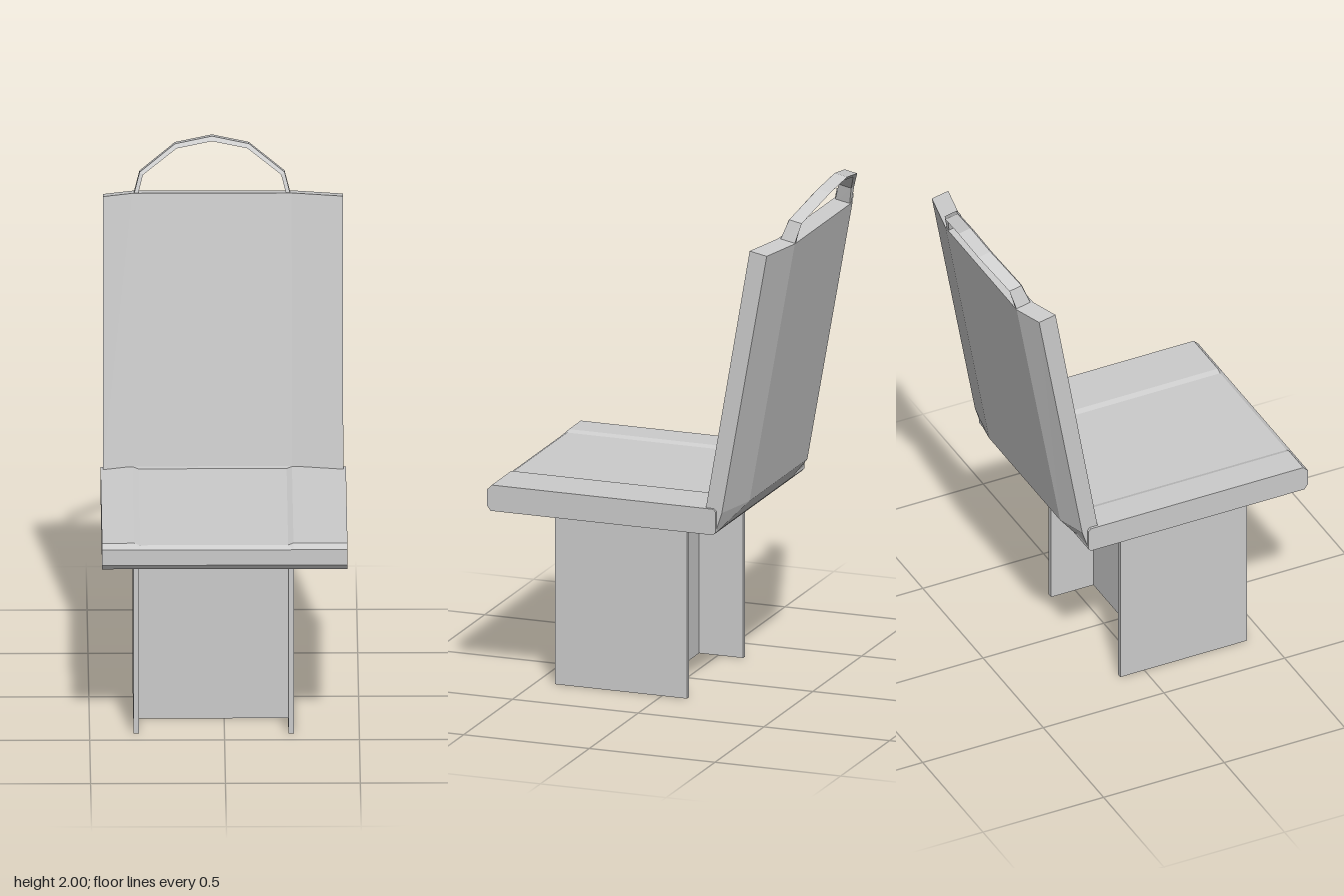
import * as THREE from 'three';

const grey = new THREE.MeshStandardMaterial({ color: 0xcccccc, flatShading: true });

// Closed solid through equal rings, which run counterclockwise seen from the last ring.
function loft(name, rings) {
  const n = rings[0].length, last = (rings.length - 1) * n;
  const index = [];
  const quad = (a, b, c, d) => index.push(a, b, c, a, c, d);
  for (let r = 0; r < rings.length - 1; r++) {
    for (let i = 0; i < n; i++) {
      const j = (i + 1) % n, o = r * n;
      quad(o + i, o + j, o + n + j, o + n + i);
    }
  }
  for (let i = 0; i < n / 2 - 1; i++) {
    quad(n - 1 - i, n - 2 - i, i + 1, i);
    quad(last + i, last + i + 1, last + n - 2 - i, last + n - 1 - i);
  }
  const indexed = new THREE.BufferGeometry();
  indexed.setAttribute('position', new THREE.Float32BufferAttribute(rings.flat(2), 3));
  indexed.setIndex(index);
  const geometry = indexed.toNonIndexed();
  geometry.computeVertexNormals();
  const mesh = new THREE.Mesh(geometry, grey);
  mesh.name = name;
  return mesh;
}

function box(name, w, h, d, x, y, z) {
  const mesh = new THREE.Mesh(new THREE.BoxGeometry(w, h, d), grey);
  mesh.name = name;
  mesh.position.set(x, y, z);
  return mesh;
}

// Chamfered cushion with a shallow dip in the middle
function createSeat() {
  const section = (x, dip) => [
    [x, 0.725, 0.62], [x, 0.705, 0.605], [x, 0.705, -0.28], [x, 0.715, -0.29],
    [x, 0.795 - dip, -0.29], [x, 0.805 - dip, -0.28], [x, 0.805 - dip, 0.6], [x, 0.785, 0.62],
  ];
  return loft('seat', [
    section(-0.455, 0), section(-0.335, 0), section(-0.315, 0.008),
    section(0.235, 0.008), section(0.255, 0), section(0.455, 0),
  ]);
}

// Leaning panel with forward-angled sides and a slanted foot that meets the seat
function createBackrest() {
  const xs = [-0.445, -0.335, 0.255, 0.445];
  const section = (yFront, yBack, zFront, zBack, wing) => {
    const shift = (i) => (i === 0 || i === 3 ? wing : 0);
    const front = xs.map((x, i) => [x, yFront, zFront + shift(i)]);
    const back = xs.map((x, i) => [x, yBack, zBack + shift(i)]);
    return [...front, ...back.reverse()];
  };
  return loft('backrest', [
    section(0.71, 0.71, -0.25, -0.285, 0),
    section(0.805, 0.79, -0.285, -0.348, 0.037),
    section(1.815, 1.802, -0.46, -0.528, 0.038),
  ]);
}

// Flat band arching up and back from the top of the backrest
function createHandle() {
  const t = 0.015;
  // x, y, front z, inward direction x and y
  const stations = [
    [-0.335, 1.79, -0.46, 1, 0], [-0.309, 1.885, -0.495, 0.85, -0.5],
    [-0.177, 1.975, -0.558, 0.4, -0.9], [-0.04, 2.0, -0.572, 0, -1],
    [0.097, 1.975, -0.558, -0.4, -0.9], [0.229, 1.885, -0.495, -0.85, -0.5],
    [0.255, 1.79, -0.46, -1, 0],
  ];
  return loft('grabHandle', stations.map(([x, y, z, dx, dy]) => {
    const ix = x + dx * t, iy = y + dy * t, iz = z - dy * t;
    const depth = Math.abs(dx) === 1 ? 0.06 : 0.05;
    return [
      [ix, iy, iz], [ix, iy - 0.01, iz - depth],
      [x, y - 0.01, z - depth], [x, y, z],
    ];
  }));
}

// Pedestal: two side plates joined by a hollow-looking centre block
function createPedestal() {
  const group = new THREE.Group();
  group.name = 'pedestal';
  const cx = -0.04, cz = 0.163, h = 0.71;
  for (const [name, side] of [['leftPlate', 1], ['rightPlate', -1]]) {
    group.add(box(name, 0.02, h, 0.525, cx + side * 0.287, h / 2, cz));
  }
  group.add(box('centreBlock', 0.556, h, 0.175, cx, h / 2, cz));
  return group;
}

export function createModel() {
  const model = new THREE.Group();
  model.name = 'chair';
  model.add(createPedestal(), createSeat(), createBackrest(), createHandle());
  return model;
}
